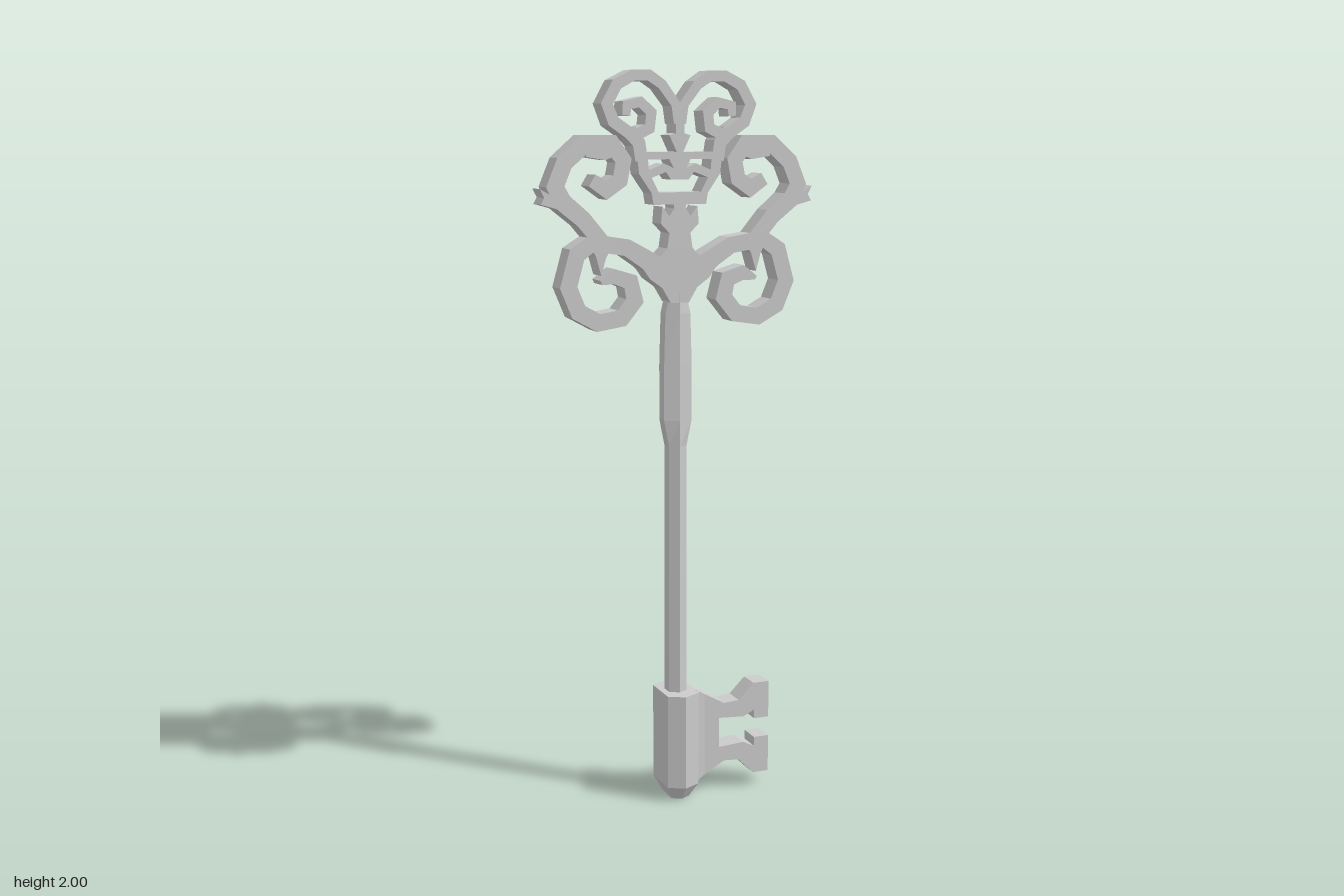
import * as THREE from 'three';

const HALF = 0.032; // half thickness of the flat parts
const material = new THREE.MeshStandardMaterial({ color: 0xcccccc, flatShading: true });

const mirror = (pts) => pts.map(([x, ...rest]) => [-x, ...rest]);

// Flat plate cut from an outline, centred on z = 0
function plate(outline, holes = [], half = HALF) {
  const toVecs = (pts) => pts.map(([x, y]) => new THREE.Vector2(x, y));
  const shape = new THREE.Shape(toVecs(outline));
  holes.forEach((h) => shape.holes.push(new THREE.Path(toVecs(h))));
  const geo = new THREE.ExtrudeGeometry(shape, { depth: half * 2, bevelEnabled: false });
  return geo.translate(0, 0, -half);
}

// Flat band following a path of [x, y, width] with mitred corners
function band(path) {
  const left = [], right = [];
  path.forEach(([x, y, w], i) => {
    const p = new THREE.Vector2(x, y);
    const dir = (a, b) => new THREE.Vector2(b[0] - a[0], b[1] - a[1]).normalize();
    const d0 = i > 0 ? dir(path[i - 1], path[i]) : dir(path[0], path[1]);
    const d1 = i < path.length - 1 ? dir(path[i], path[i + 1]) : d0;
    const t = d0.clone().add(d1).normalize();
    const k = (w / 2) / Math.max(t.dot(d0), 0.6);
    left.push([p.x - t.y * k, p.y + t.x * k]);
    right.unshift([p.x + t.y * k, p.y - t.x * k]);
  });
  return plate([...left, ...right]);
}

// Hexagonal column through rows of [y, half width, shoulder z, point z], top to bottom
function hexColumn(rows) {
  const n = rows.length - 1;
  const geo = new THREE.CylinderGeometry(1, 1, n, 6, n);
  const pos = geo.attributes.position;
  for (let i = 0; i < pos.count; i++) {
    const [y, w, s, p] = rows[Math.round(n / 2 - pos.getY(i))];
    const x = pos.getX(i), z = pos.getZ(i);
    if (Math.abs(x) > 0.5) pos.setXYZ(i, Math.sign(x) * w, y, Math.sign(z) * s);
    else pos.setXYZ(i, 0, y, Math.abs(z) > 0.5 ? Math.sign(z) * p : 0);
  }
  geo.computeVertexNormals();
  return geo;
}

export function createModel() {
  const group = new THREE.Group();
  const add = (name, geo) => {
    const mesh = new THREE.Mesh(geo, material);
    mesh.name = name;
    group.add(mesh);
  };

  // Shaft with a wider grip below the bow
  add('shaft', hexColumn([
    [1.43, 0.02, 0.017, 0.032], [1.36, 0.036, 0.018, 0.033], [1.22, 0.04, 0.018, 0.033],
    [1.07, 0.04, 0.018, 0.033], [1.0, 0.026, 0.017, 0.033], [0.28, 0.026, 0.017, 0.033],
  ]));

  // Barrel at the foot
  add('barrel', hexColumn([
    [0.305, 0.045, 0.056, 0.079], [0.04, 0.045, 0.056, 0.079], [0, 0.026, 0.036, 0.05],
  ]));

  // Bit: upper edge mirrored about its middle height
  const mid = 0.172;
  const upper = [
    [0.03, 0.305], [0.05, 0.305], [0.135, 0.257], [0.18, 0.26], [0.225, 0.305], [0.272, 0.305],
    [0.272, 0.2], [0.228, 0.2], [0.228, 0.226], [0.195, 0.21], [0.12, 0.215],
  ];
  const lower = upper.map(([x, y]) => [x, 2 * mid - y]).reverse();
  add('bit', plate([...upper, ...lower]));

  // Flare where the bit leaves the barrel
  const flare = plate(
    [[0.03, -0.057], [0.045, -0.056], [0.056, -0.036], [0.085, -0.03],
      [0.085, 0.03], [0.056, 0.036], [0.045, 0.056], [0.03, 0.057]], [], 0.1325);
  flare.rotateX(Math.PI / 2).translate(0, mid, 0);
  const fp = flare.attributes.position;
  for (let i = 0; i < fp.count; i++) {
    // Follow the sloping edges of the bit
    const drop = Math.max(0, fp.getX(i) - 0.05) * 0.58;
    fp.setY(i, fp.getY(i) - Math.sign(fp.getY(i) - mid) * drop);
  }
  flare.computeVertexNormals();
  add('bitFlare', flare);

  // Hub of the bow
  const hubHalf = [
    [0.026, 1.39], [0.05, 1.43], [0.085, 1.455], [0.11, 1.49], [0.095, 1.525], [0.065, 1.505], [0.036, 1.535],
    [0.03, 1.575], [0.054, 1.6], [0.05, 1.645], [0.03, 1.62], [0.016, 1.64], [0.02, 1.67],
  ];
  add('hub', plate([...hubHalf, ...mirror(hubHalf).reverse()]));

  // Heart frame between hub and top scrolls
  const frame = [[0.075, 1.65], [0.08, 1.68], [0.115, 1.73], [0.122, 1.785], [0.09, 1.787]];
  const frameHole = [[0.06, 1.682], [0.08, 1.72], [0.04, 1.735], [0.025, 1.715]];
  const arch = [[0.088, 1.74], [0.09, 1.768], [0.03, 1.768], [0.018, 1.745], [0.045, 1.757]];
  add('frame', plate(
    [...frame, ...mirror(frame).reverse()],
    [[...frameHole, ...mirror(frameHole).reverse()], arch, mirror(arch)]));
  add('topPoint', plate([[-0.012, 1.91], [-0.012, 1.835], [-0.03, 1.83], [0, 1.768],
    [0.03, 1.83], [0.012, 1.835], [0.012, 1.91]]));

  // Scrollwork, drawn on the left and mirrored to the right
  const scrolls = {
    TopScroll: [
      [0.006, 1.86, 0.022], [0.012, 1.91, 0.025], [0.05, 1.96, 0.027], [0.085, 1.983, 0.028],
      [0.13, 1.983, 0.028], [0.175, 1.96, 0.03], [0.203, 1.91, 0.03], [0.185, 1.865, 0.032],
      [0.13, 1.828, 0.032], [0.085, 1.848, 0.028], [0.08, 1.888, 0.028], [0.11, 1.915, 0.026],
      [0.148, 1.907, 0.024], [0.15, 1.88, 0.022],
    ],
    TopLink: [[0.14, 1.84, 0.04], [0.115, 1.81, 0.035], [0.108, 1.765, 0.035]],
    SideScroll: [
      [0.05, 1.475, 0.06], [0.1, 1.51, 0.05], [0.15, 1.54, 0.044], [0.215, 1.55, 0.044],
      [0.27, 1.615, 0.045], [0.325, 1.66, 0.048], [0.345, 1.7, 0.045], [0.32, 1.76, 0.045],
      [0.265, 1.808, 0.045], [0.19, 1.808, 0.045], [0.158, 1.765, 0.042], [0.168, 1.715, 0.042],
      [0.205, 1.69, 0.042], [0.245, 1.715, 0.035],
    ],
    SideScrollHook: [[0.165, 1.8, 0.03], [0.21, 1.787, 0.04], [0.26, 1.79, 0.03]],
    LowerScroll: [
      [0.2, 1.55, 0.035], [0.25, 1.55, 0.042], [0.288, 1.525, 0.045], [0.312, 1.44, 0.045],
      [0.285, 1.375, 0.045], [0.23, 1.345, 0.045], [0.165, 1.355, 0.045], [0.128, 1.4, 0.045],
      [0.14, 1.45, 0.042], [0.185, 1.465, 0.038], [0.222, 1.45, 0.012],
    ],
  };
  const spikes = {
    Leaf: [[0.33, 1.64], [0.385, 1.655], [0.375, 1.672], [0.387, 1.695], [0.36, 1.68], [0.34, 1.7]],
    Thorn: [[0.19, 1.545], [0.208, 1.515], [0.222, 1.468], [0.235, 1.515], [0.25, 1.545]],
  };
  for (const [side, flip] of [['left', (p) => p], ['right', mirror]]) {
    for (const [name, path] of Object.entries(scrolls)) add(side + name, band(flip(path)));
    for (const [name, outline] of Object.entries(spikes)) add(side + name, plate(flip(outline)));
  }
  return group;
}
